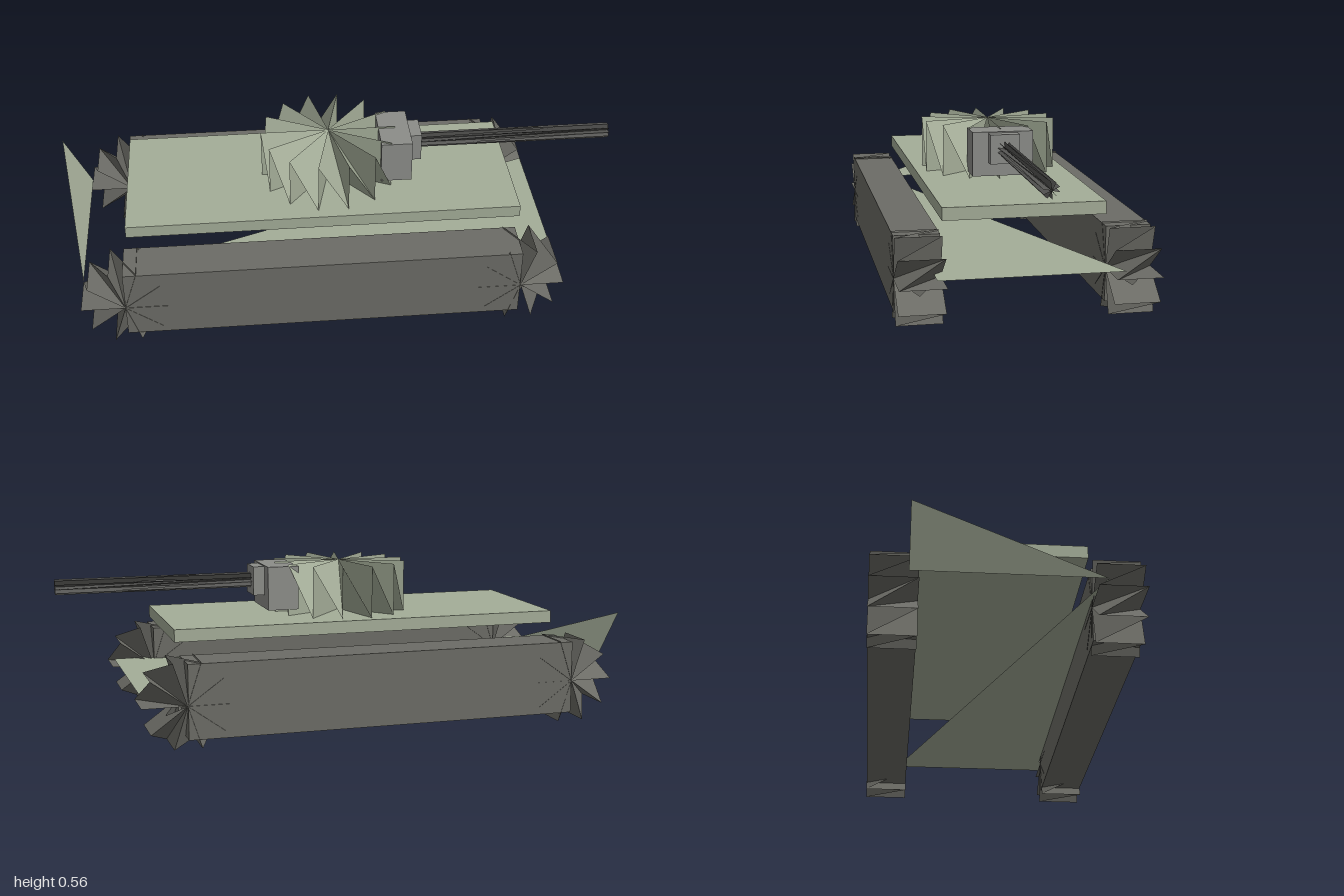
import * as THREE from 'three';

const mat = (color) => new THREE.MeshStandardMaterial({ color, flatShading: true, side: THREE.DoubleSide });
const hullMat = mat(0xa4ad98), trackMat = mat(0x6c6c66), mantletMat = mat(0x8c8d89), barrelMat = mat(0x575755);

function mesh(name, geometry, material) {
  const m = new THREE.Mesh(geometry, material);
  m.name = name;
  return m;
}

// Geometry from a list of triangles, each three [x, y, z] corners
function triangles(list) {
  const g = new THREE.BufferGeometry();
  g.setAttribute('position', new THREE.Float32BufferAttribute(list.flat(2), 3));
  g.computeVertexNormals();
  return g;
}

// Box given by its limits
function block(name, [x0, x1], [y0, y1], [z0, z1], material) {
  const m = mesh(name, new THREE.BoxGeometry(x1 - x0, y1 - y0, z1 - z0), material);
  m.position.set((x0 + x1) / 2, (y0 + y1) / 2, (z0 + z1) / 2);
  return m;
}

// Pleated drum along z: both end centres fan out to a zigzag rim,
// with the last pleat left open
function pleatedDrum(radius, length, sides) {
  const h = length / 2, list = [];
  const rim = (i, z) => {
    const a = (i / sides) * Math.PI * 2;
    return [radius * Math.cos(a), radius * Math.sin(a), z];
  };
  for (const z of [h, -h]) {
    const centre = [0, 0, z];
    for (let i = 0; i < sides; i++) {
      list.push([centre, rim(i, -h), rim(i, h)]);
      if (i < sides - 1) list.push([centre, rim(i, h), rim(i + 1, -h)]);
    }
  }
  return triangles(list);
}

export function createModel() {
  const model = new THREE.Group();
  model.name = 'tank';

  // Track runs with a pleated wheel at each end
  for (const [side, z] of [['left', 0.35], ['right', -0.35]]) {
    const track = new THREE.Group();
    track.name = side + 'Track';
    track.add(block('trackRun', [-0.757, 0.62], [0.03, 0.285], [z - 0.076, z + 0.076], trackMat));
    for (const x of [-0.757, 0.622]) {
      const wheel = mesh('endWheel', pleatedDrum(0.1525, 0.154, 10), trackMat);
      wheel.position.set(x, 0.145, z);
      track.add(wheel);
    }
    model.add(track);
  }

  // Lower hull: a three-cornered floor and a raised tail plate
  const tailCorner = [-0.905, 0.17, 0.305];
  model.add(mesh('hullFloor', triangles([[tailCorner, [0.765, 0.17, 0.305], [0.765, 0.17, -0.305]]]), hullMat));
  model.add(mesh('tailPlate', triangles([[tailCorner, [-0.905, 0.17, -0.305], [-1, 0.36, -0.305]]]), hullMat));

  // Deck slab
  model.add(block('deck', [-0.745, 0.635], [0.33, 0.373], [-0.27, 0.27], hullMat));

  // Turret
  const turret = mesh('turret', pleatedDrum(0.24, 0.182, 14), hullMat);
  turret.rotation.x = -Math.PI / 2;
  turret.position.set(-0.02, 0.464, 0);
  model.add(turret);

  // Gun mount and barrel
  model.add(block('mantlet', [0.16, 0.27], [0.395, 0.549], [-0.106, 0.106], mantletMat));
  model.add(block('mantletCollar', [0.27, 0.31], [0.443, 0.545], [-0.051, 0.051], mantletMat));
  const barrelGeometry = pleatedDrum(0.027, 0.73, 10);
  barrelGeometry.rotateZ(Math.PI / 3);
  const barrel = mesh('barrel', barrelGeometry, barrelMat);
  barrel.rotation.y = Math.PI / 2;
  barrel.position.set(0.635, 0.494, 0);
  model.add(barrel);

  return model;
}
